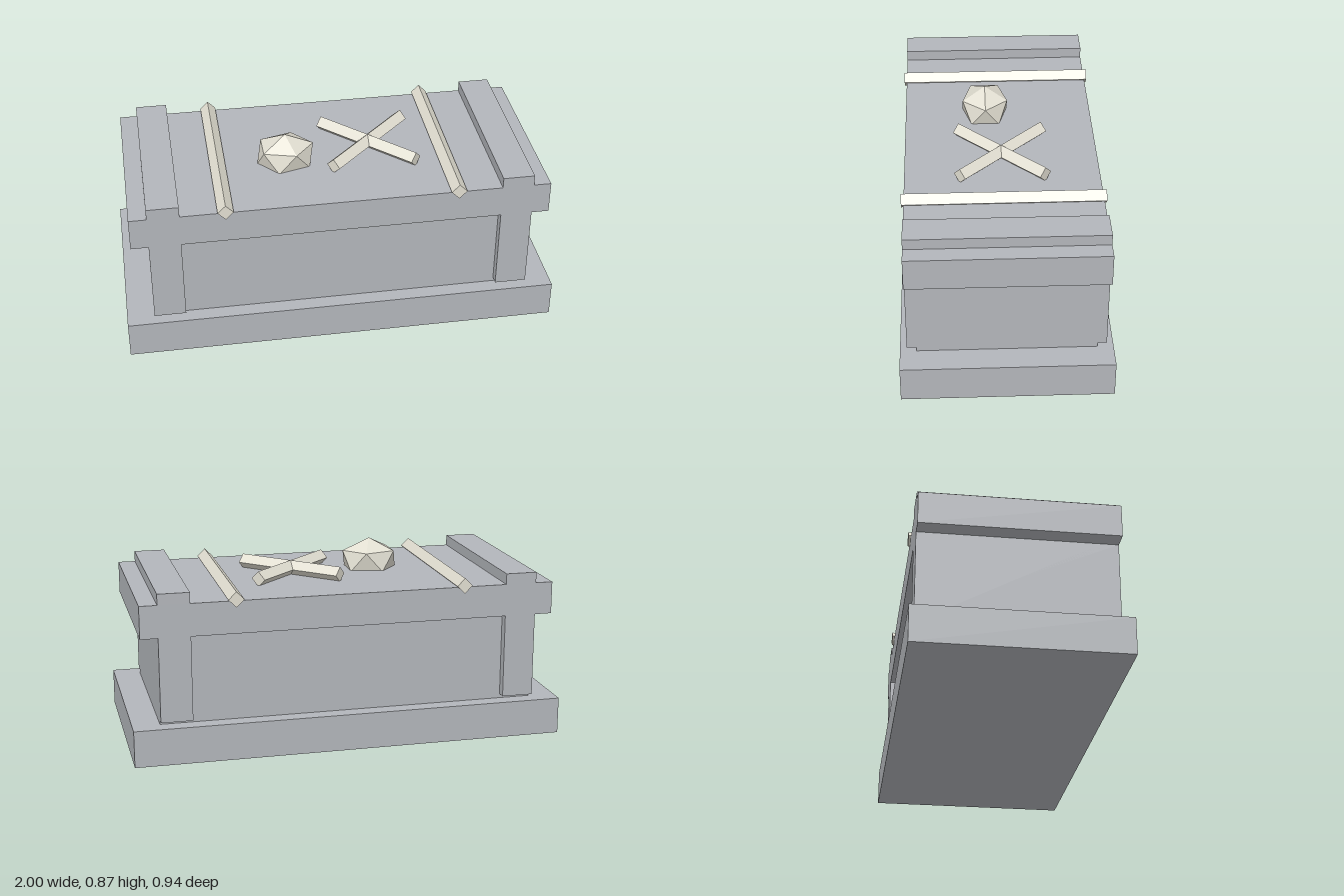
import * as THREE from 'three';

export function createModel() {
  const model = new THREE.Group();
  const stone = new THREE.MeshStandardMaterial({ color: 0xb3b6bb });
  const bone = new THREE.MeshStandardMaterial({ color: 0xe2dfd2 });
  stone.name = 'stone';
  bone.name = 'bone';

  const add = (name, geometry, material, x, y, z) => {
    const mesh = new THREE.Mesh(geometry, material);
    mesh.name = name;
    mesh.position.set(x, y, z);
    model.add(mesh);
    return mesh;
  };

  // Plinth and recessed chest
  add('base', new THREE.BoxGeometry(2, 0.17, 0.945), stone, 0, 0.085, 0);
  add('chest', new THREE.BoxGeometry(1.75, 0.43, 0.8), stone, 0, 0.385, 0);

  // Lid, raised bands and corner pillars share one extruded outline
  const half = [
    [0.73, 0.73], [0.73, 0.78], [0.875, 0.78], [0.875, 0.73], [0.955, 0.73],
    [0.955, 0.58], [0.875, 0.58], [0.875, 0.19], [0.73, 0.19], [0.73, 0.58],
  ];
  const outline = [...half, ...half.map(([x, y]) => [-x, y]).reverse()];
  const shape = new THREE.Shape(outline.map(([x, y]) => new THREE.Vector2(x, y)));
  const frame = new THREE.ExtrudeGeometry(shape, { depth: 0.884, bevelEnabled: false });
  add('lidAndPillars', frame, stone, 0, 0, -0.442);

  // Diamond-section bar lying along z
  const bar = (length) => {
    const g = new THREE.CylinderGeometry(0.036, 0.036, length, 4).toNonIndexed();
    g.computeVertexNormals();
    return g.rotateX(Math.PI / 2);
  };

  // Rods across the lid
  for (const side of [-1, 1]) {
    add(side > 0 ? 'leftRod' : 'rightRod', bar(0.905), bone, side * 0.527, 0.737, 0);
  }

  // Crossed bones
  for (const side of [-1, 1]) {
    const mesh = add('crossedBone', bar(0.545), bone, 0.187, 0.76, 0);
    mesh.rotation.y = side * Math.PI / 4;
  }

  // Faceted skull, one vertex turned upward and squashed
  const skull = new THREE.IcosahedronGeometry(0.146, 0);
  skull.rotateZ(-Math.atan(2 / (1 + Math.sqrt(5))));
  skull.scale(1, 0.7, 0.85);
  skull.computeVertexNormals();
  add('skull', skull, bone, -0.212, 0.77, 0.063);

  return model;
}
